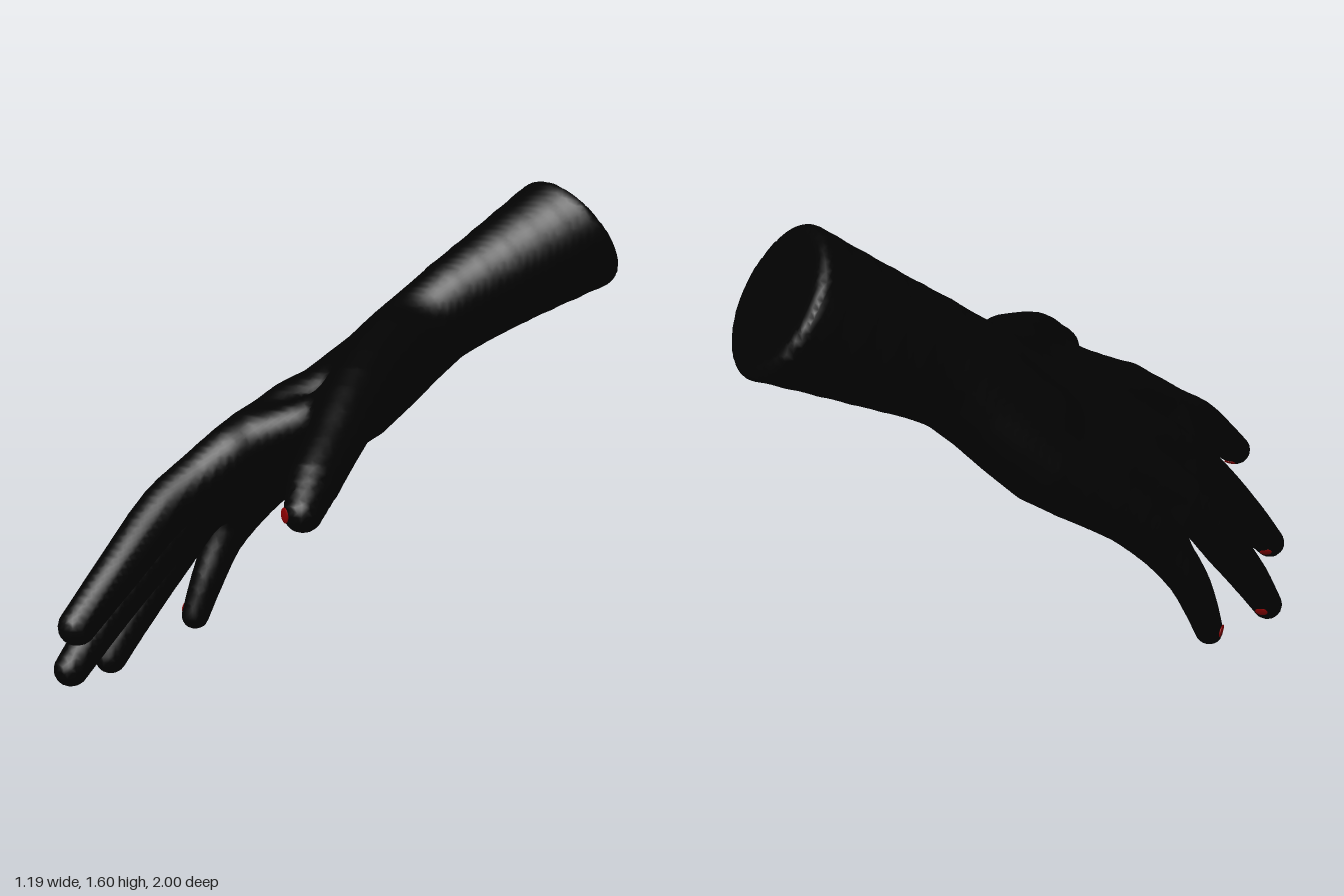
import * as THREE from 'three';

const V = (x, y, z) => new THREE.Vector3(x, y, z);

// Flesh strands: centre line points [x, y, z, radius]; finger strands run from the forearm to the tip
const STRANDS = {
  indexFinger: [[0.52, 1.58, -1.0, 0.25], [0.395, 1.455, -0.836, 0.215], [0.25, 1.315, -0.62, 0.175],
    [0.11, 1.17, -0.378, 0.13], [-0.02, 0.95, -0.1, 0.13], [-0.1, 0.835, 0.29, 0.1],
    [-0.165, 0.735, 0.45, 0.088], [-0.195, 0.66, 0.58, 0.081], [-0.19, 0.52, 0.78, 0.068],
    [-0.19, 0.395, 0.945, 0.056]],
  littleFinger: [[0.47, 1.55, -1.05, 0.25], [0.35, 1.43, -0.88, 0.215], [0.2, 1.28, -0.68, 0.175],
    [0.06, 1.12, -0.477, 0.14], [-0.14, 0.853, -0.298, 0.138], [-0.32, 0.638, -0.103, 0.099],
    [-0.405, 0.495, -0.01, 0.078], [-0.465, 0.37, 0.05, 0.066], [-0.485, 0.24, 0.113, 0.058],
    [-0.5, 0.115, 0.163, 0.048]],
  middleFinger: [[0.09, 1.14, -0.43, 0.1], [-0.06, 0.925, -0.15, 0.135], [-0.205, 0.765, 0.163, 0.102],
    [-0.29, 0.63, 0.34, 0.085], [-0.355, 0.46, 0.49, 0.081], [-0.405, 0.29, 0.64, 0.068],
    [-0.432, 0.14, 0.778, 0.055]],
  ringFinger: [[0.07, 1.12, -0.45, 0.1], [-0.1, 0.885, -0.23, 0.135], [-0.285, 0.705, 0.042, 0.098],
    [-0.4, 0.55, 0.19, 0.082], [-0.475, 0.37, 0.3, 0.075], [-0.525, 0.2, 0.415, 0.066],
    [-0.557, 0.055, 0.507, 0.053]],
  thumb: [[0.1, 1.125, -0.32, 0.1], [0.13, 1.08, -0.1, 0.12], [0.225, 1.0, 0.18, 0.103],
    [0.315, 0.9, 0.41, 0.082], [0.36, 0.835, 0.54, 0.075], [0.399, 0.775, 0.635, 0.055]],
  thumbWeb: [[0.21, 0.98, 0.17, 0.075], [0.08, 0.915, 0.24, 0.072], [-0.045, 0.855, 0.31, 0.085]],
  thumbPad: [[0.12, 1.02, -0.1, 0.1], [0.04, 0.96, 0.03, 0.11], [-0.03, 0.9, 0.13, 0.11]],
  backOfWrist: [[0.05, 1.16, -0.46, 0.12], [-0.03, 1.08, -0.37, 0.112], [-0.11, 0.98, -0.28, 0.105]],
  fingerWebs: [[-0.39, 0.52, 0.06, 0.055], [-0.345, 0.57, 0.22, 0.055], [-0.24, 0.7, 0.385, 0.055]],
};

// Fingertip polish: direction it faces and distance back from the tip
const NAILS = {
  thumb: { facing: V(-0.4, 0, 0.9), back: 0 },
  indexFinger: { facing: V(-0.1, -0.82, -0.55), back: 0.03 },
  middleFinger: { facing: V(-0.25, -0.35, -0.45), back: 0.04 },
  ringFinger: { facing: V(-0.2, -0.3, -0.55), back: 0.04 },
  littleFinger: { facing: V(-0.9, -0.1, 0.15), back: 0.02 },
};

// Flat cut at the end of the forearm
const CUT_POINT = V(0.375, 1.435, -0.838);
const CUT_NORMAL = V(0.37, 0.6, -0.72).normalize();
const CUT_ROUNDING = 0.03;
const BLEND = 0.045;

// Smooth curve through a strand, as short tapered capsules
function capsules(points) {
  const path = new THREE.CatmullRomCurve3(points.map(p => V(p[0], p[1], p[2])));
  const n = points.length - 1, steps = n * 3, list = [];
  const radius = i => {
    const k = Math.min(Math.floor(i / 3), n - 1), f = i / 3 - k;
    return THREE.MathUtils.lerp(points[k][3], points[k + 1][3], f);
  };
  for (let i = 0; i < steps; i++) {
    const a = path.getPoint(i / steps), d = path.getPoint((i + 1) / steps).sub(a);
    list.push({ a, d, len2: d.lengthSq(), r: radius(i), dr: radius(i + 1) - radius(i) });
  }
  return list;
}

// Amount by which two distances melt together when they are nearly equal
function melt(a, b, width) {
  const m = Math.max(0, width - Math.abs(a - b));
  return m * m / (4 * width);
}

// Signed distance to the blended flesh
function makeField() {
  const strands = Object.values(STRANDS).map(capsules);
  return (x, y, z) => {
    let total = 10;
    for (const strand of strands) {
      let best = 10;
      for (const { a, d, len2, r, dr } of strand) {
        const px = x - a.x, py = y - a.y, pz = z - a.z;
        const h = Math.min(1, Math.max(0, (px * d.x + py * d.y + pz * d.z) / len2));
        const qx = px - h * d.x, qy = py - h * d.y, qz = pz - h * d.z;
        best = Math.min(best, Math.sqrt(qx * qx + qy * qy + qz * qz) - r - h * dr);
      }
      total = Math.min(total, best) - melt(total, best, BLEND);
    }
    const cut = (x - CUT_POINT.x) * CUT_NORMAL.x + (y - CUT_POINT.y) * CUT_NORMAL.y
      + (z - CUT_POINT.z) * CUT_NORMAL.z;
    return Math.max(total, cut) + melt(total, cut, CUT_ROUNDING);
  };
}

// Skin over a distance field: one vertex per crossed cell, one quad per crossed grid edge
function skinGeometry(field, min, max, step) {
  const n = max.clone().sub(min).divideScalar(step).ceil();
  const stride = [1, n.x, n.x * n.y];
  const values = new Float32Array(n.x * n.y * n.z).fill(1);
  const each = (from, visit) => {
    for (let k = from; k < n.z - 1; k++)
      for (let j = from; j < n.y - 1; j++)
        for (let i = from; i < n.x - 1; i++) visit(i, j, k, i + j * stride[1] + k * stride[2]);
  };
  each(0, (i, j, k, id) => {
    values[id] = field(min.x + i * step, min.y + j * step, min.z + k * step);
  });

  const pos = [], index = [], vertexOf = new Map();
  const corner = c => [c & 1, (c >> 1) & 1, c >> 2];
  const offset = c => corner(c).reduce((s, b, axis) => s + b * stride[axis], 0);
  each(0, (i, j, k, id) => {
    const p = V(0, 0, 0);
    let hits = 0;
    for (let c = 0; c < 8; c++) for (let axis = 0; axis < 3; axis++) {
      if (c & (1 << axis)) continue;
      const a = values[id + offset(c)], b = values[id + offset(c | (1 << axis))];
      if ((a < 0) === (b < 0)) continue;
      const q = corner(c);
      q[axis] = a / (a - b);
      p.add(V(...q));
      hits++;
    }
    if (!hits) return;
    p.divideScalar(hits).add(V(i, j, k)).multiplyScalar(step).add(min);
    // Settle the vertex onto the surface
    const d = field(p.x, p.y, p.z), e = 0.002;
    const g = V(field(p.x + e, p.y, p.z) - d, field(p.x, p.y + e, p.z) - d, field(p.x, p.y, p.z + e) - d);
    p.addScaledVector(g.normalize(), -d);
    vertexOf.set(id, pos.length / 3);
    pos.push(p.x, p.y, p.z);
  });
  each(1, (i, j, k, id) => {
    for (let axis = 0; axis < 3; axis++) {
      const inside = values[id] < 0;
      if (inside === values[id + stride[axis]] < 0) continue;
      const u = stride[(axis + 1) % 3], v = stride[(axis + 2) % 3];
      const [a, b, c, d] = [id - u - v, id - v, id, id - u].map(cell => vertexOf.get(cell));
      if (inside) index.push(a, b, c, a, c, d);
      else index.push(a, c, b, a, d, c);
    }
  });
  const geometry = new THREE.BufferGeometry();
  geometry.setAttribute('position', new THREE.Float32BufferAttribute(pos, 3));
  geometry.setIndex(index);
  geometry.computeVertexNormals();
  return geometry;
}

export function createModel() {
  const hand = new THREE.Group();
  hand.name = 'hand';
  const black = new THREE.MeshStandardMaterial({ color: 0x020202 });
  black.name = 'black skin';
  const red = new THREE.MeshStandardMaterial({ color: 0x8b0000 });
  red.name = 'red nail';

  // Forearm, palm and digits as one continuous skin
  const skin = new THREE.Mesh(
    skinGeometry(makeField(), V(-0.68, -0.06, -1.1), V(0.7, 1.72, 1.08), 0.018), black);
  skin.name = 'forearmPalmAndDigits';
  hand.add(skin);

  // Small flat nails lying on the fingertips
  for (const [digit, { facing, back }] of Object.entries(NAILS)) {
    const [before, tip] = STRANDS[digit].slice(-2);
    const along = V(...before).sub(V(...tip));
    const t = back / along.length();
    const n = facing.clone().normalize();
    const nail = new THREE.Mesh(new THREE.SphereGeometry(0.022, 14, 10), red);
    nail.name = digit + 'Nail';
    nail.scale.z = 0.2;
    nail.quaternion.setFromUnitVectors(V(0, 0, 1), n);
    nail.position.set(...tip).addScaledVector(along, t)
      .addScaledVector(n, THREE.MathUtils.lerp(tip[3], before[3], t));
    hand.add(nail);
  }
  return hand;
}
